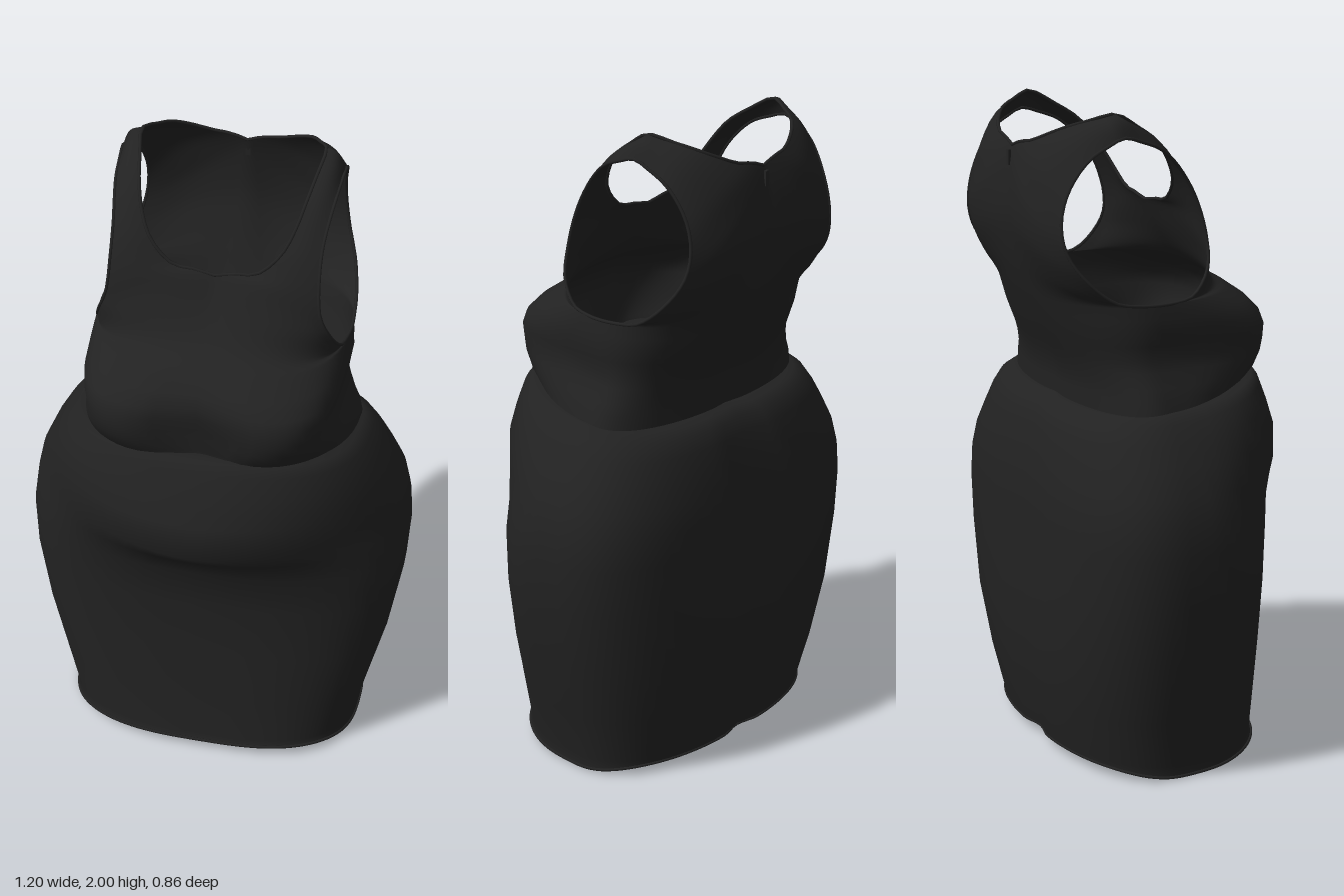
import * as THREE from 'three';
import { mergeGeometries, mergeVertices } from 'three/addons/utils/BufferGeometryUtils.js';

const N = 64; // points around a full ring
const V = (x, y, z) => new THREE.Vector3(x, y, z);
const bump = (x, w) => Math.exp(-((x / w) ** 2));

// Point on a body ring; angle a runs from the front centre (0) towards +x
function ringPoint(r, a) {
  const s = Math.sin(a), c = Math.cos(a);
  const front = c >= 0;
  const e = 2 / (front ? r.nf : r.nb);
  const x = r.w * Math.sign(s) * Math.abs(s) ** e;
  const depth = front ? r.f - r.zc : r.b - r.zc;
  let z = r.zc + depth * Math.abs(c) ** e;
  z += front ? -r.cleft * bump(x, 0.12) * c : r.dent * bump(x, 0.05) * -c;
  const lift = r.lift * (front ? c : 0.4 * c) + r.hem * (1 - s ** 6);
  return V(x, r.y + lift, z);
}

const ring = (r) =>
  Array.from({ length: N }, (_, i) => {
    const p = ringPoint(r, (i / N) * Math.PI * 2);
    if (i === 0 || i === N / 2) p.x = 0;
    return p;
  });

// Surface through rows of points, running bottom to top
function grid(rows, closed) {
  const n = rows[0].length, idx = [];
  for (let i = 0; i < rows.length - 1; i++) {
    for (let j = 0; j < (closed ? n : n - 1); j++) {
      const k = (j + 1) % n, a = i * n, b = a + n;
      idx.push(a + j, a + k, b + j, a + k, b + k, b + j);
    }
  }
  const g = new THREE.BufferGeometry();
  g.setAttribute('position', new THREE.Float32BufferAttribute(rows.flat().flatMap((p) => [p.x, p.y, p.z]), 3));
  g.setIndex(idx);
  return g;
}

function smooth(parts) {
  const g = mergeVertices(mergeGeometries(parts), 1e-4);
  g.computeVertexNormals();
  return g;
}

export function createModel() {
  const group = new THREE.Group();
  const fabric = new THREE.MeshStandardMaterial({ color: 0x222222, side: THREE.DoubleSide });
  fabric.name = 'black fabric';
  const add = (name, geometry) => {
    const m = new THREE.Mesh(geometry, fabric);
    m.name = name;
    group.add(m);
  };
  const piping = (name, points, closed, radius = 0.005) =>
    add(name, new THREE.TubeGeometry(new THREE.CatmullRomCurve3(points, closed), points.length * 2, radius, 6, closed));

  // Skirt: y, half width, front z, back z, front squareness, back squareness, front lift
  const skirtRings = [
    [0, 0.475, 0.298, -0.34, 2.9, 2.5, 0],
    [0.04, 0.474, 0.288, -0.345, 2.9, 2.5, 0],
    [0.2, 0.512, 0.28, -0.375, 2.9, 2.6, 0],
    [0.4, 0.56, 0.27, -0.4, 2.9, 2.7, 0],
    [0.6, 0.592, 0.272, -0.397, 2.8, 2.9, 0],
    [0.75, 0.6, 0.295, -0.395, 2.5, 3.0, 0],
    [0.84, 0.592, 0.355, -0.392, 2.0, 3.0, 0],
    [0.92, 0.575, 0.43, -0.382, 1.75, 2.9, 0],
    [1.0, 0.538, 0.405, -0.365, 2.05, 2.8, 0.02],
    [1.065, 0.5, 0.365, -0.35, 2.3, 2.8, 0.04],
    [1.115, 0.465, 0.335, -0.33, 2.5, 2.8, 0.055],
    [1.14, 0.435, 0.312, -0.3, 2.6, 2.7, 0.06],
    [1.142, 0.39, 0.26, -0.255, 2.3, 2.5, 0.05],
  ].map(([y, w, f, b, nf, nb, lift], i) => ({
    y, w, f, b, nf, nb, lift, zc: -0.06, cleft: 0, dent: 0.018, hem: [0.03, 0.012][i] ?? 0,
  }));
  add('skirt', smooth([grid(skirtRings.map(ring), true)]));
  piping('hem', ring(skirtRings[0]).map((p) => p.setY(p.y + 0.004)), true);

  // Lower bodice: y, half width, front z, back z, front squareness, cleft
  const bodiceRings = [
    [1.12, 0.428, 0.28, -0.268, 2.5, 0.0],
    [1.17, 0.418, 0.295, -0.27, 2.6, 0.03],
    [1.205, 0.402, 0.32, -0.274, 3.1, 0.055],
    [1.25, 0.386, 0.33, -0.288, 3.8, 0.062],
    [1.285, 0.376, 0.333, -0.303, 4.2, 0.06],
    [1.33, 0.382, 0.334, -0.322, 4.2, 0.05],
    [1.37, 0.388, 0.322, -0.338, 3.8, 0.035],
    [1.41, 0.386, 0.29, -0.352, 3.2, 0.015],
    [1.45, 0.382, 0.235, -0.367, 2.7, 0],
  ].map(([y, w, f, b, nf, cleft]) => ({
    y, w, f, b, nf, cleft, nb: 2.4, zc: -0.11, lift: 0, dent: 0.01, hem: 0,
  }));
  const topRing = ring(bodiceRings[bodiceRings.length - 1]);
  const Q = N / 4;

  // Upper panels: armhole edge paired with centre line and neckline
  const toCurve = (first, pts) => new THREE.CatmullRomCurve3([first, ...pts.map((p) => V(...p))]);
  const panels = [
    {
      start: 0, puff: 0.012,
      outer: toCurve(topRing[Q], [[0.37, 1.46, 0], [0.345, 1.53, 0.065], [0.318, 1.6, 0.08], [0.308, 1.7, 0.06],
        [0.308, 1.8, 0.01], [0.322, 1.89, -0.08], [0.33, 1.93, -0.2]]),
      inner: toCurve(topRing[0], [[0, 1.5, 0.16], [0, 1.58, 0.1], [0, 1.68, 0.05], [0.12, 1.7, 0.05],
        [0.2, 1.78, 0.03], [0.245, 1.9, -0.05], [0.272, 1.99, -0.2]]),
    },
    {
      start: Q, puff: -0.028,
      outer: toCurve(topRing[Q], [[0.372, 1.465, -0.24], [0.35, 1.54, -0.335], [0.322, 1.62, -0.382], [0.308, 1.7, -0.39],
        [0.306, 1.79, -0.365], [0.32, 1.88, -0.3], [0.33, 1.93, -0.2]]),
      inner: toCurve(topRing[2 * Q], [[0, 1.56, -0.388], [0, 1.68, -0.41], [0, 1.8, -0.404], [0, 1.88, -0.39],
        [0.1, 1.905, -0.382], [0.21, 1.955, -0.32], [0.272, 1.99, -0.2]]),
    },
  ];

  const STEPS = 28;
  function panelRows({ start, puff, outer, inner }, side) {
    const rows = [];
    for (let i = 0; i <= STEPS; i++) {
      const t = i / STEPS, row = [];
      const [from, to] = start === 0 ? [inner, outer] : [outer, inner];
      const a = from.getPoint(t), b = to.getPoint(t);
      for (let j = 0; j <= Q; j++) {
        const u = j / Q, arch = Math.sin(Math.PI * u);
        // roundness of the lower ring fades out towards the shoulder
        const round = topRing[start + j].clone().sub(topRing[start].clone().lerp(topRing[start + Q], u));
        const p = a.clone().lerp(b, u).addScaledVector(round, (1 - t) ** 4);
        p.z += puff * arch * Math.sin(Math.PI * t ** 0.8);
        // rounded shoulder strap
        p.y += 0.018 * arch * t ** 6;
        p.x = Math.max(0, p.x + 0.008 * arch * t ** 6) * side;
        row.push(p);
      }
      rows.push(side > 0 ? row : row.reverse());
    }
    return rows;
  }

  const pieces = [grid(bodiceRings.map(ring), true)];
  for (const side of [1, -1]) for (const p of panels) pieces.push(grid(panelRows(p, side), false));
  add('bodice', smooth(pieces));

  // Edge binding round the armholes and the neckline
  const sample = (curve, from) =>
    Array.from({ length: 15 - 2 * from }, (_, i) => curve.getPoint((from + i / 2) / 7)).map((p) => p.setX(Math.max(0, p.x)));
  const flip = (p) => V(-p.x, p.y, p.z);
  const [front, back] = panels;
  const armhole = [...sample(front.outer, 0), ...sample(back.outer, 0).reverse().slice(1, -1)];
  piping('leftArmholeBinding', armhole, true);
  piping('rightArmholeBinding', armhole.map(flip), true);
  const neck = [...sample(front.inner, 3), ...sample(back.inner, 4).reverse().slice(1)];
  piping('necklineBinding', [...neck, ...neck.slice(1, -1).reverse().map(flip)], true);

  // Zip pull at the back of the neck
  const pull = new THREE.BoxGeometry(0.014, 0.045, 0.008);
  pull.translate(0, 1.845, -0.402);
  add('zipPull', pull);

  return group;
}
